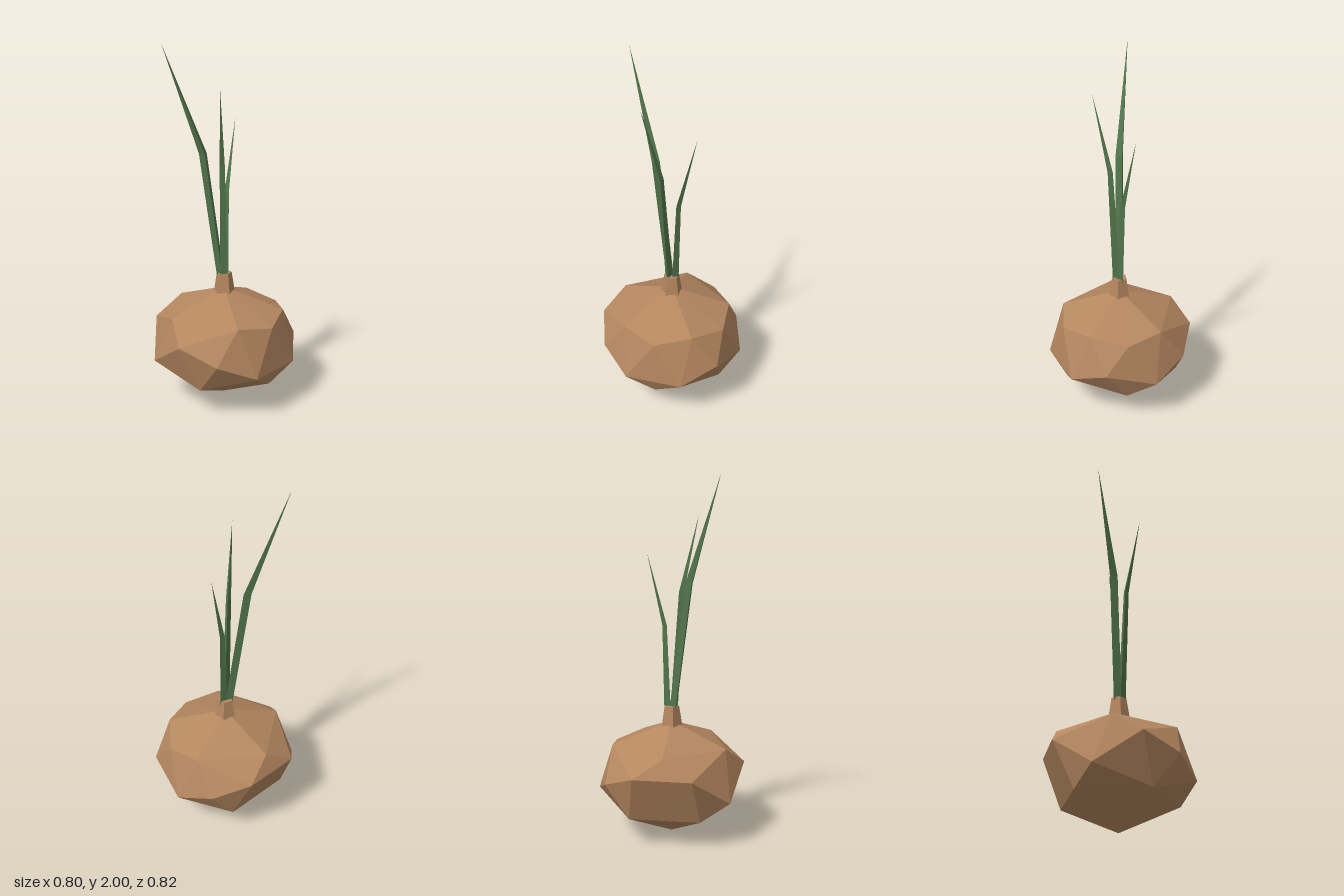
import * as THREE from 'three';
import { ConvexGeometry } from 'three/addons/geometries/ConvexGeometry.js';

const V = (x, y, z) => new THREE.Vector3(x, y, z);

// Faceted bulb: hull over two poles, two offset five-point rings and bulging points between them
function bulbGeometry() {
  const points = [V(0, 0, 0), V(0, 0.645, 0)];
  for (let i = 0; i < 5; i++) {
    const a = (i * 2 * Math.PI) / 5;
    points.push(V(0.33 * Math.cos(a), 0.52, 0.33 * Math.sin(a)));
    points.push(V(-0.33 * Math.cos(a), 0.155, 0.33 * Math.sin(a)));
  }
  for (const s of [-1, 1]) {
    points.push(V(0, 0.335, 0.408 * s));
    points.push(V(0.21, 0.25, 0.348 * s));
    points.push(V(-0.21, 0.415, 0.348 * s));
    points.push(V(0.28, 0.49, 0.205 * s));
  }
  points.push(V(0.39, 0.335, -0.13), V(0.395, 0.25, 0.09));
  points.push(V(-0.4, 0.415, -0.09), V(-0.375, 0.25, 0.16));
  return new ConvexGeometry(points);
}

// Three-sided leaf: base section, kink section, pointed tip
function leafGeometry(base, kink, tip, baseRadius, kinkRadius, turn) {
  const section = (c, r) => [0, 1, 2].map((i) => {
    const a = turn + (i * 2 * Math.PI) / 3;
    return V(c[0] + r * Math.sin(a), c[1], c[2] + r * Math.cos(a));
  });
  const lo = section(base, baseRadius);
  const hi = section(kink, kinkRadius);
  const top = V(...tip);
  const corners = [lo[0], lo[2], lo[1]];
  for (let i = 0; i < 3; i++) {
    const j = (i + 1) % 3;
    corners.push(lo[i], lo[j], hi[j], lo[i], hi[j], hi[i], hi[i], hi[j], top);
  }
  const geometry = new THREE.BufferGeometry().setFromPoints(corners);
  geometry.computeVertexNormals();
  return geometry;
}

export function createModel() {
  const skin = new THREE.MeshStandardMaterial({ color: 0xb58760 });
  skin.name = 'brown skin';
  const green = new THREE.MeshStandardMaterial({ color: 0x52754c });
  green.name = 'leaf green';

  const model = new THREE.Group();
  model.name = 'sproutingBulb';
  const add = (name, geometry, material) => {
    const mesh = new THREE.Mesh(geometry, material);
    mesh.name = name;
    model.add(mesh);
  };

  add('bulb', bulbGeometry(), skin);

  // Five-sided tapered neck
  const neck = new THREE.CylinderGeometry(0.043, 0.062, 0.12, 5).toNonIndexed();
  neck.rotateY(Math.PI);
  neck.translate(0, 0.67, 0);
  neck.computeVertexNormals();
  add('neck', neck, skin);

  // Leaves
  add('tallLeaf', leafGeometry([-0.015, 0.7, 0.005], [-0.105, 1.415, 0.055], [-0.31, 2, 0.122], 0.024, 0.025, 0.4), green);
  add('middleLeaf', leafGeometry([0.003, 0.7, 0.018], [-0.004, 1.36, 0.06], [-0.005, 1.78, 0.167], 0.024, 0.016, Math.PI), green);
  add('shortLeaf', leafGeometry([0.012, 0.7, -0.012], [0.015, 1.18, -0.03], [0.05, 1.58, -0.122], 0.023, 0.016, 2.7), green);

  return model;
}
